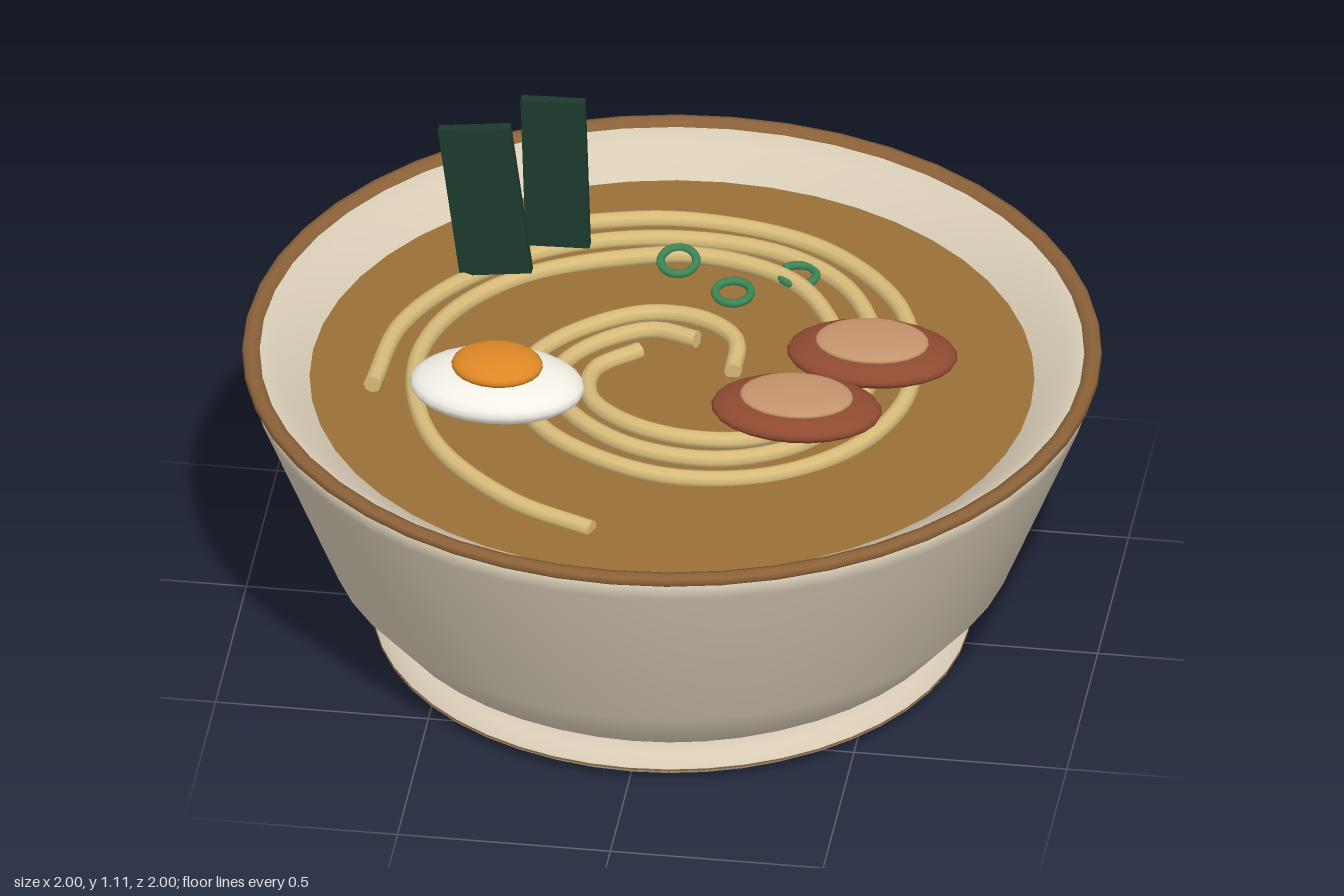
import * as THREE from 'three';

const paint = (color, side = THREE.FrontSide) => new THREE.MeshStandardMaterial({ color, side });
const CREAM = paint(0xd8ccb6, THREE.DoubleSide);
const BROWN = paint(0x8c6239);
const BROTH = paint(0x9a6f38);
const NOODLE = paint(0xd8bc7a);
const WHITE = paint(0xf2efe6);
const YOLK = paint(0xde8726);
const MEAT = paint(0x8f4a31);
const FAT = paint(0xc4946c);
const SEAWEED = paint(0x1c3a2e);
const ONION = paint(0x3c8556);

export function createModel() {
  const model = new THREE.Group();
  model.name = 'noodleBowl';

  const add = (name, geometry, material, x = 0, y = 0, z = 0) => {
    const mesh = new THREE.Mesh(geometry, material);
    mesh.name = name;
    mesh.position.set(x, y, z);
    model.add(mesh);
    return mesh;
  };
  const lathe = (name, profile, material) =>
    add(name, new THREE.LatheGeometry(profile.map(([r, y]) => new THREE.Vector2(r, y)), 48), material);
  const blob = (name, material, [x, y, z], [rx, ry, rz]) =>
    add(name, new THREE.SphereGeometry(1, 24, 14).scale(rx, ry, rz), material, x, y, z);

  // Bowl wall, outside up and inside down to below the broth
  lathe('bowl', [
    [0.6, 0.06], [0.64, 0.075], [0.69, 0.11], [0.8, 0.24], [0.98, 0.69],
    [0.992, 0.735], [0.96, 0.745], [0.92, 0.725], [0.84, 0.67], [0.78, 0.6],
  ], CREAM);

  // Rim band
  lathe('rim', [
    [0.955, 0.735], [0.99, 0.732], [1, 0.742], [0.996, 0.755],
    [0.98, 0.76], [0.963, 0.755], [0.955, 0.735],
  ], BROWN);

  // Closed foot with a thin band round its edge
  lathe('foot', [
    [0, 0], [0.63, 0], [0.66, 0.003], [0.695, 0.028], [0.695, 0.038],
    [0.665, 0.062], [0.63, 0.068], [0.5, 0.068],
  ], CREAM);
  lathe('footBand', [[0.692, 0.027], [0.697, 0.033], [0.692, 0.039]], BROWN);

  // Broth surface
  add('broth', new THREE.CircleGeometry(0.845, 48).rotateX(-Math.PI / 2), BROTH, 0, 0.672, 0);

  // Noodles: three long spirals, given as x, z pairs
  const spirals = [
    [[0.14, -0.02], [0.13, -0.14], [0.04, -0.22], [-0.1, -0.24], [-0.26, -0.14], [-0.34, 0],
      [-0.33, 0.17], [-0.24, 0.32], [-0.07, 0.42], [0.09, 0.44], [0.29, 0.39], [0.46, 0.26],
      [0.55, 0.08], [0.55, -0.12], [0.47, -0.37], [0.25, -0.59], [-0.07, -0.66], [-0.41, -0.57]],
    [[0.04, -0.13], [-0.07, -0.17], [-0.19, -0.11], [-0.26, 0], [-0.25, 0.14], [-0.16, 0.27],
      [-0.02, 0.35], [0.17, 0.35], [0.35, 0.24], [0.45, 0.04], [0.45, -0.19], [0.35, -0.4],
      [0.17, -0.53], [-0.1, -0.57], [-0.34, -0.5], [-0.53, -0.33], [-0.65, -0.1], [-0.68, 0.17]],
    [[-0.09, -0.09], [-0.18, 0], [-0.17, 0.14], [-0.06, 0.25], [0.09, 0.29], [0.24, 0.25],
      [0.36, 0.1], [0.39, -0.07], [0.34, -0.25], [0.22, -0.41], [0, -0.49], [-0.21, -0.46],
      [-0.4, -0.37], [-0.53, -0.21], [-0.59, 0], [-0.57, 0.22], [-0.48, 0.42], [-0.29, 0.59], [-0.09, 0.68]],
  ];
  spirals.forEach((points, s) => {
    const curve = new THREE.CatmullRomCurve3(points.map(([x, z], i) =>
      new THREE.Vector3(x, 0.688 + 0.01 * Math.sin(i * 1.1 + s * 2), z)));
    const noodle = add(`noodle${s + 1}`, new THREE.TubeGeometry(curve, 120, 0.021, 8), NOODLE);
    // End caps
    [0, 1].forEach((t) => {
      const cap = new THREE.Mesh(new THREE.CircleGeometry(0.021, 8), NOODLE);
      cap.name = 'noodleEnd';
      cap.position.copy(curve.getPointAt(t));
      cap.lookAt(cap.position.clone().addScaledVector(curve.getTangentAt(t), t ? 1 : -1));
      noodle.add(cap);
    });
  });

  // Egg half
  blob('eggWhite', WHITE, [-0.37, 0.797, 0.28], [0.205, 0.055, 0.148]);
  blob('eggYolk', YOLK, [-0.37, 0.853, 0.28], [0.107, 0.033, 0.09]);

  // Meat slices with a pale centre
  [[0.475, 0.803, 0.032], [0.33, 0.783, 0.258]].forEach(([x, y, z]) => {
    blob('meatSlice', MEAT, [x, y, z], [0.2, 0.04, 0.137]);
    blob('meatCentre', FAT, [x, y + 0.034, z], [0.133, 0.018, 0.095]);
  });

  // Upright seaweed sheets
  [[-0.487, -0.335, 0.13, 0.17], [-0.342, -0.475, 0.03, 0.15]].forEach(([x, z, lean, width]) => {
    add('seaweedSheet', new THREE.BoxGeometry(width, 0.4, 0.024), SEAWEED, x, 0.905, z).rotation.z = lean;
  });

  // Spring onion rings
  [[-0.05, -0.45, 0.25], [0.235, -0.43, 0], [0.095, -0.335, 0.1]].forEach(([x, z, tilt]) => {
    add('onionRing', new THREE.TorusGeometry(0.042, 0.01, 8, 20).rotateX(Math.PI / 2), ONION, x, 0.702, z)
      .rotation.x = tilt;
  });

  return model;
}
